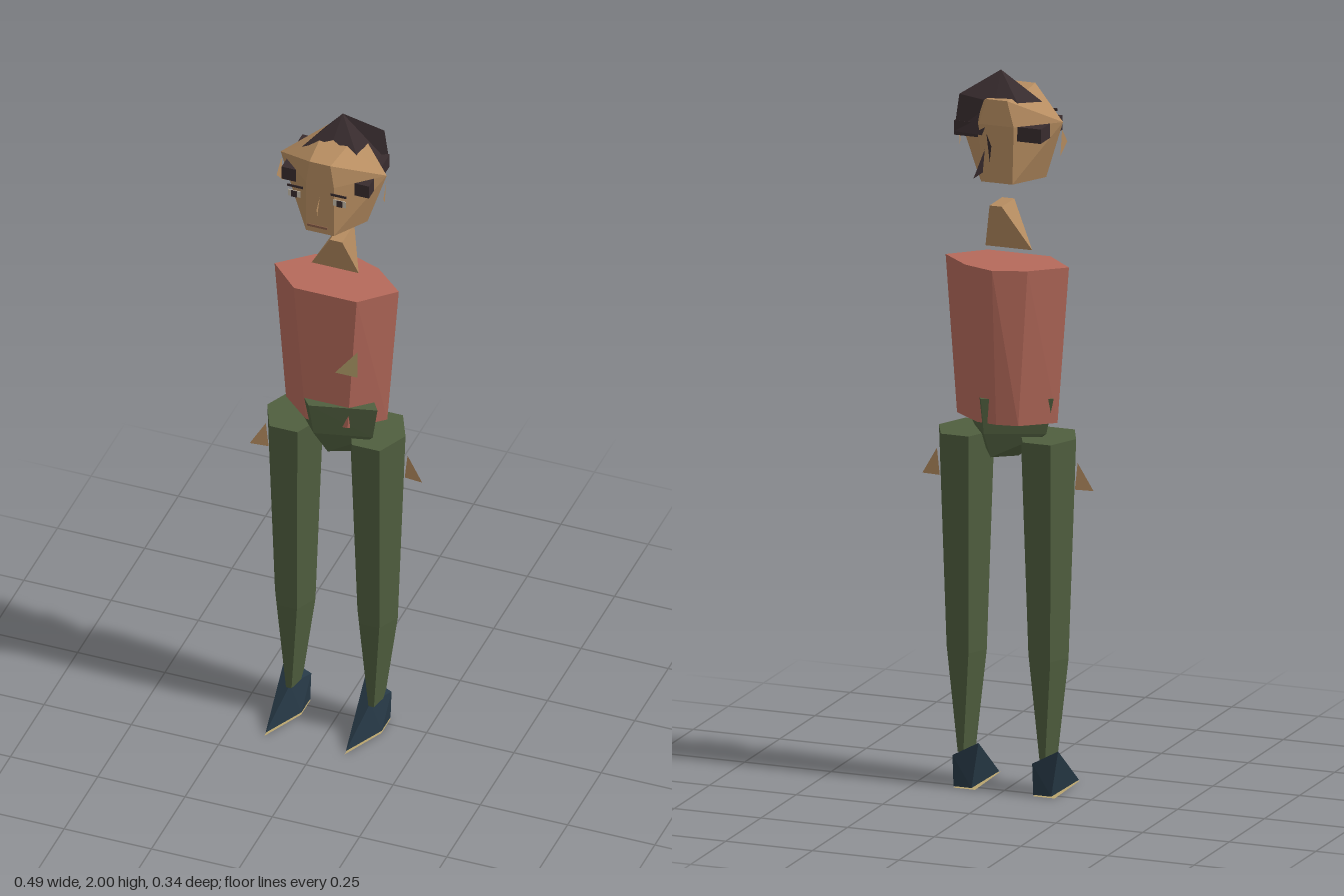
import * as THREE from 'three';
import { ConvexGeometry } from 'three/addons/geometries/ConvexGeometry.js';

const mat = (name, color, side = THREE.DoubleSide) => {
  const m = new THREE.MeshStandardMaterial({ color, side });
  m.name = name;
  return m;
};

export function createModel() {
  const skin = mat('skin', 0xb58c60);
  const hairDark = mat('dark hair', 0x382c2e);
  const shirtRed = mat('faded red', 0xb66a5b);
  const green = mat('olive green', 0x505f3f);
  const shoeBlue = mat('dark blue', 0x263845);
  const tan = mat('tan', 0xb9a46e);
  const eyeWhite = mat('eye white', 0xc9bfae);
  const lip = mat('lip', 0x8a5f48);

  const root = new THREE.Group();
  const add = (name, geometry, material, parent = root) => {
    const mesh = new THREE.Mesh(geometry, material);
    mesh.name = name;
    parent.add(mesh);
    return mesh;
  };
  const vec = (p) => new THREE.Vector3(...p);
  const hull = (points) => new ConvexGeometry(points.map(vec));
  // Left-right symmetric ring: half outline as [x, z] at height y
  const ring = (y, half) => half.flatMap(([x, z]) => [[x, y, z], [-x, y, z]]);
  // Fan of triangles from the first point through the others
  const fan = (points, closed = false) => {
    const out = [];
    const n = points.length;
    for (let i = 1; i < n - (closed ? 0 : 1); i++) {
      const next = i + 1 < n ? i + 1 : 1;
      out.push(...points[0], ...points[i], ...points[next]);
    }
    const g = new THREE.BufferGeometry();
    g.setAttribute('position', new THREE.Float32BufferAttribute(out, 3));
    g.computeVertexNormals();
    return g;
  };
  const plate = (name, x, y, z, w, h, material, parent) => {
    add(name, new THREE.BoxGeometry(w, h, 0.002), material, parent).position.set(x, y, z);
  };

  // Head: six-sided, widest at the temples, narrow at crown
  const head = new THREE.Group();
  head.name = 'head';
  root.add(head);
  add('skull', hull([
    ...ring(1.70, [[0.1, 0.05], [0.04, 0.145], [0.045, -0.055]]),
    ...ring(1.86, [[0.152, 0.042], [0.04, 0.145], [0.05, -0.058]]),
    ...ring(1.93, [[0.03, 0.145], [0.04, 0.04], [0.03, -0.055]]),
  ]), skin, head);

  // Hair: lopsided cap, temple band and loose strands behind
  add('hairCap', fan([
    [0.01, 2.0, 0], [-0.085, 1.905, 0.06], [0, 1.94, 0.045], [0.08, 1.895, 0.06],
    [0.125, 1.83, 0.015], [0.125, 1.83, -0.05], [0.11, 1.935, -0.05],
    [0.01, 1.92, -0.045], [-0.05, 1.92, -0.03],
  ], true), hairDark, head);
  add('hairBack', fan([
    [0.01, 1.92, -0.045], [0.11, 1.935, -0.05], [0.125, 1.83, -0.05], [0.04, 1.83, -0.062],
  ]), hairDark, head);
  add('hairBand', new THREE.BoxGeometry(0.25, 0.04, 0.155), hairDark, head)
    .position.set(0, 1.84, 0.0275);
  add('hairStrand', fan([[0.03, 1.835, -0.055], [-0.025, 1.83, -0.155], [0, 1.77, -0.105]]), hairDark, head);
  add('hairEnd', fan([[0.02, 1.74, -0.172], [0.02, 1.74, -0.105], [0, 1.815, -0.14]]), hairDark, head);

  // Face details, just in front of the head
  for (const s of [-1, 1]) {
    plate('eye', s * 0.065, 1.83, 0.167, 0.036, 0.02, eyeWhite, head);
    plate('iris', s * 0.065, 1.83, 0.169, 0.016, 0.02, hairDark, head);
    plate('eyebrow', s * 0.062, 1.855, 0.168, 0.045, 0.007, hairDark, head);
    add('ear', fan([[s * 0.15, 1.84, 0.04], [s * 0.153, 1.8, 0.07], [s * 0.145, 1.765, 0.04]]), skin, head);
  }
  plate('mouth', 0, 1.735, 0.165, 0.058, 0.007, lip, head);
  add('nose', fan([[0, 1.82, 0.145], [0, 1.795, 0.17], [0, 1.77, 0.165]]), skin, head);

  // Neck: wedge turning from a wide base edge to a narrow top edge
  add('neck', hull([
    [-0.07, 1.5, 0.025], [0.065, 1.5, 0.025],
    [0, 1.625, 0.07], [0.035, 1.625, 0.07], [0, 1.625, -0.02], [0.035, 1.625, -0.02],
  ]), skin);

  // Shirt
  add('shirt', hull([
    ...ring(1.465, [[0.178, 0.02], [0.09, 0.105], [0.09, -0.058], [0, -0.09]]),
    ...ring(1.03, [[0.145, 0.02], [0.06, 0.095], [0.06, -0.05], [0, -0.06]]),
  ]), shirtRed);
  add('badge', fan([[0.045, 1.25, 0.15], [0.11, 1.25, 0.15], [0.11, 1.335, 0.15]]), tan);

  // Hips: skewed block tapering downward
  add('hips', hull([
    ...[[1.1, 1, 1], [1.0, 0.86, 0.85], [0.93, 0.35, 0.6]].flatMap(([y, sx, sz]) =>
      [[-0.04, 0.1], [0.14, 0.055], [0.04, -0.095], [-0.14, -0.02]]
        .map(([x, z]) => [x * sx + (1 - sx) * 0.02, y, 0.025 + z * sz])),
  ]), green);

  // Trouser legs: tapered hexagons
  const legRings = [[0.99, 0.08, 0.04, 0.11, -0.063], [0.38, 0.058, 0.029, 0.085, -0.037],
    [0.1, 0.017, 0.008, 0.07, -0.022]];
  for (const s of [-1, 1]) {
    const points = legRings.flatMap(([y, w, c, front, back]) =>
      ring(y, [[w, 0.022], [c, front], [c, back]]));
    add('trouserLeg', hull(points), green).position.x = s * 0.118;
    // Hand
    add('hand', fan([[s * 0.195, 0.85, 0.02], [s * 0.247, 0.85, 0.025], [s * 0.203, 0.925, 0.02]]), skin);
  }

  // Shoes: two equal wedges, toes toward the front, with tan soles
  for (const x of [-0.12, 0.11]) {
    const shoe = new THREE.Group();
    shoe.name = 'shoe';
    shoe.position.x = x;
    root.add(shoe);
    add('shoeUpper', hull([
      [-0.03, 0.004, 0.16], [-0.025, 0.004, -0.025], [0.027, 0.004, -0.025],
      [-0.043, 0.13, -0.02], [0.03, 0.09, -0.025], [0, 0.1, 0.055], [0.027, 0.004, 0.04],
    ]), shoeBlue, shoe);
    add('sole', fan([[-0.03, 0, 0.17], [-0.035, 0, -0.025], [0.028, 0, -0.025], [0.028, 0, 0.045]]), tan, shoe);
  }
  return root;
}
